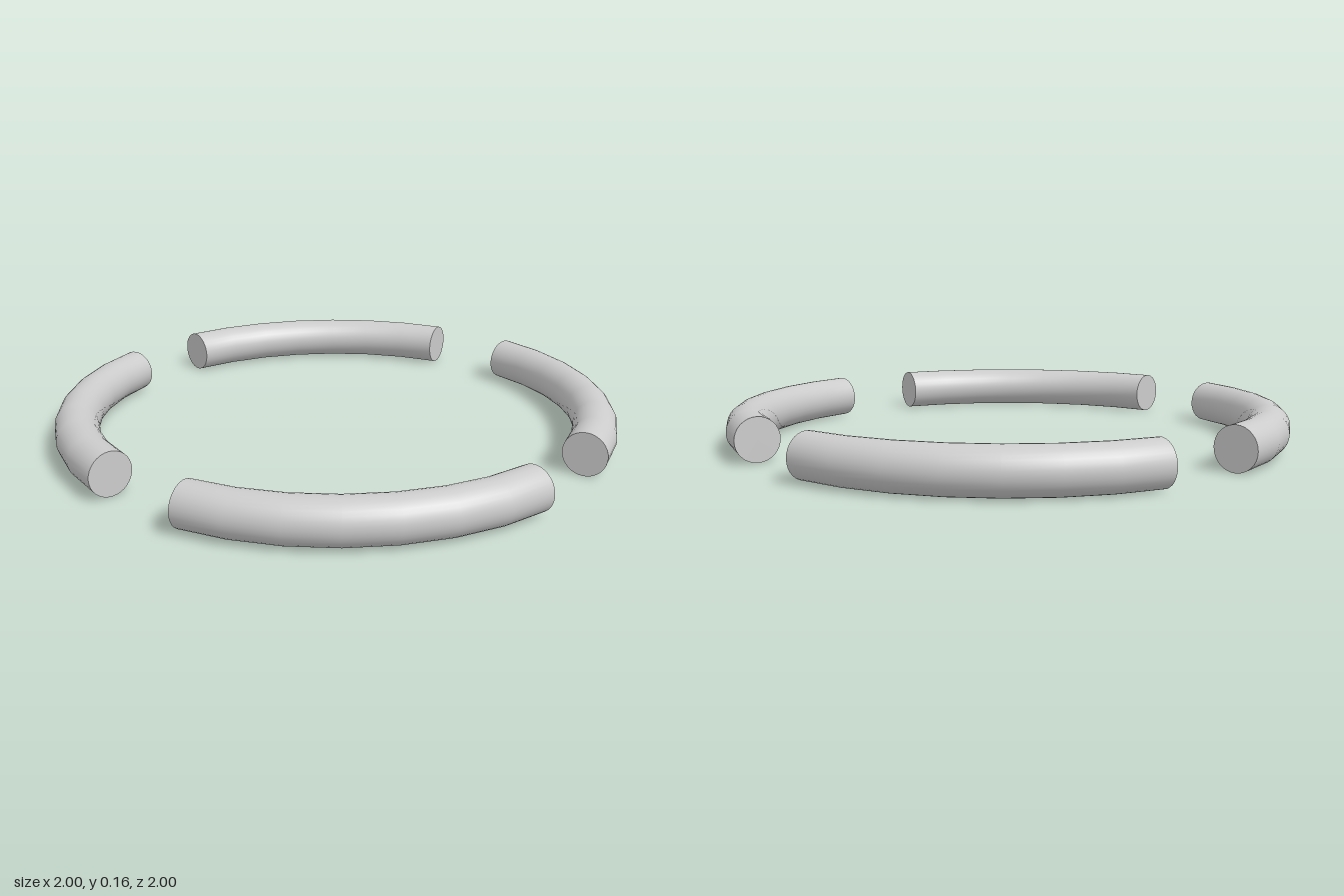
import * as THREE from 'three';
import { mergeGeometries } from 'three/addons/utils/BufferGeometryUtils.js';

const RING = 0.938;   // centre-line radius
const TUBE = 0.0775;  // tube radius
const SIDES = 32;
const GAP = THREE.MathUtils.degToRad(10.4); // half the gap between neighbouring arcs
const ARC = Math.PI / 2 - 2 * GAP;

// One curved bar: a piece of torus closed with a flat disc at each end
function arcGeometry() {
  const bar = new THREE.TorusGeometry(RING, TUBE, SIDES, 7, ARC);
  const startCap = new THREE.CircleGeometry(TUBE, SIDES)
    .rotateX(Math.PI / 2).translate(RING, 0, 0);
  const endCap = new THREE.CircleGeometry(TUBE, SIDES)
    .rotateX(-Math.PI / 2).translate(RING, 0, 0).rotateZ(ARC);
  // Lay the arc flat and centre its gap on the axes
  return mergeGeometries([bar, startCap, endCap])
    .rotateZ(GAP).rotateX(Math.PI / 2).translate(0, TUBE, 0);
}

export function createModel() {
  const model = new THREE.Group();
  model.name = 'segmentedRing';
  const material = new THREE.MeshStandardMaterial({ color: 0xcccccc });
  const geometry = arcGeometry();

  // Four equal arcs, one per quarter turn
  ['frontLeftArc', 'backLeftArc', 'backRightArc', 'frontRightArc'].forEach((name, i) => {
    const arc = new THREE.Mesh(geometry, material);
    arc.name = name;
    arc.rotation.y = i * Math.PI / 2;
    model.add(arc);
  });
  return model;
}
